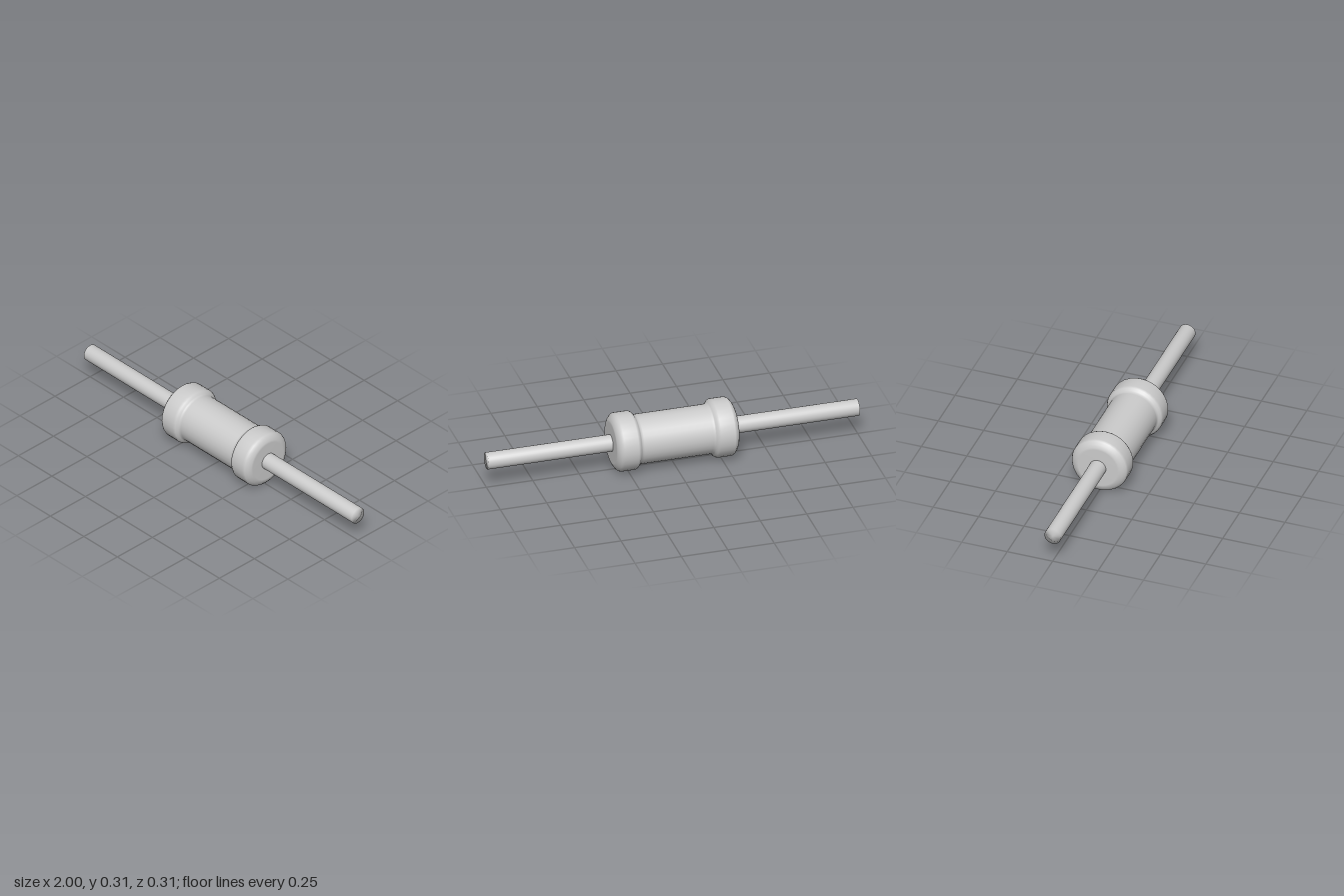
import * as THREE from 'three';

const RADIUS = 0.155;
const SEGMENTS = 32;

// Revolve [x, radius] points, listed from -x to +x, around the x axis
function revolve(name, profile, material) {
  const points = profile.map(([x, r]) => new THREE.Vector2(r, x));
  const geometry = new THREE.LatheGeometry(points, SEGMENTS);
  geometry.rotateZ(-Math.PI / 2);
  const mesh = new THREE.Mesh(geometry, material);
  mesh.name = name;
  return mesh;
}

export function createModel() {
  const material = new THREE.MeshStandardMaterial({ color: 0xcccccc });
  const model = new THREE.Group();
  model.name = 'resistor';

  // Body: narrow barrel with a rounded, wider collar at each end
  const half = [
    [0.33, 0], [0.33, 0.108], [0.328, 0.12], [0.32, 0.136],
    [0.309, 0.149], [0.297, 0.155], [0.222, 0.155], [0.21, 0.149],
    [0.202, 0.138], [0.196, 0.133], [0.185, 0.131],
  ];
  const mirrored = half.map(([x, r]) => [-x, r]);
  model.add(revolve('body', [...mirrored, ...half.reverse()], material));

  // Wire leads, one on each side, with closed outer ends
  for (const side of [-1, 1]) {
    const profile = [[side * 0.32, 0.045], [side, 0.045], [side, 0]];
    if (side < 0) profile.reverse();
    model.add(revolve(side > 0 ? 'leftLead' : 'rightLead', profile, material));
  }

  // Rest the collars on the ground
  model.children.forEach((mesh) => { mesh.position.y = RADIUS; });
  return model;
}
